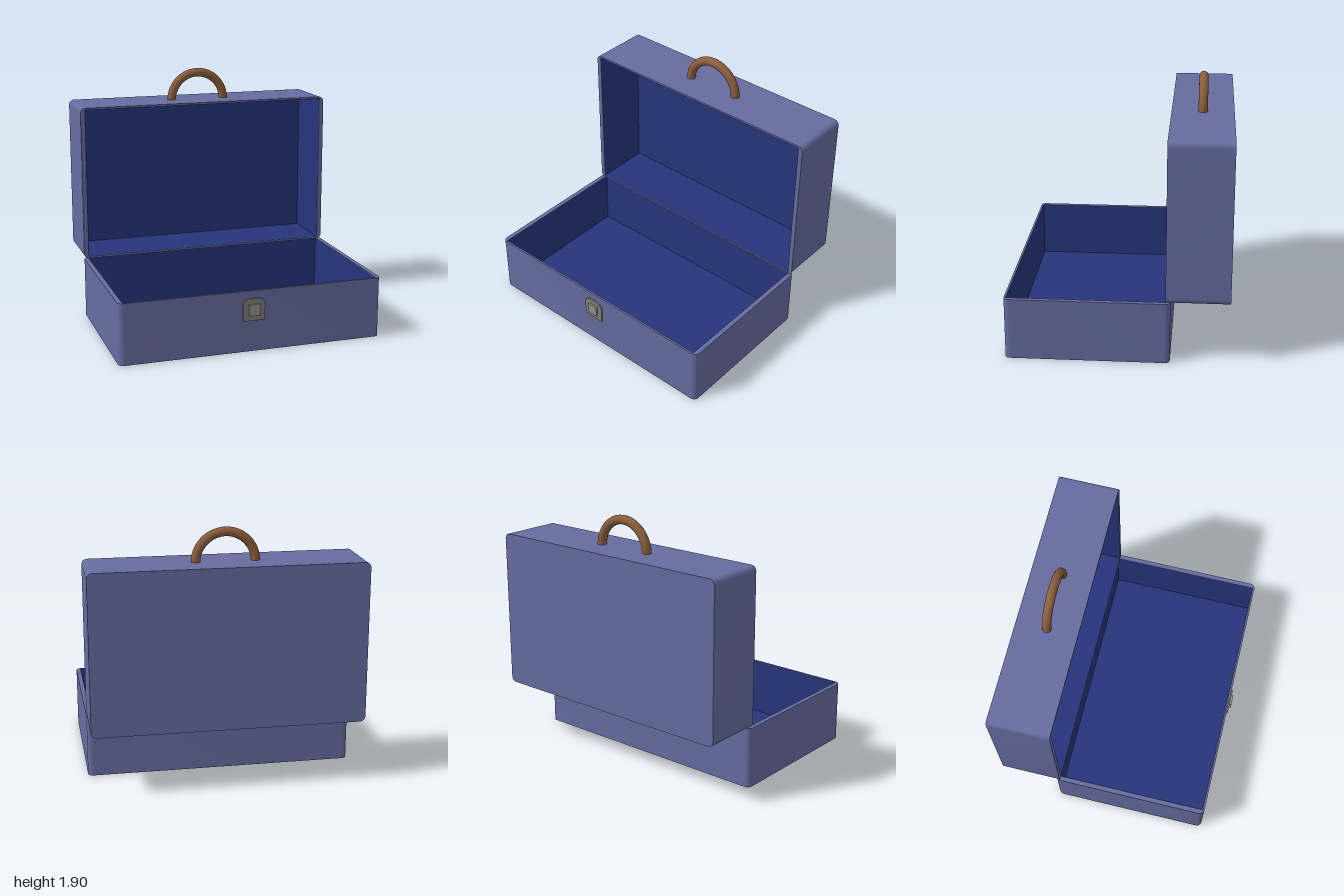
import * as THREE from 'three';
import { toCreasedNormals } from 'three/addons/utils/BufferGeometryUtils.js';

const mat = (color) => new THREE.MeshStandardMaterial({ color });
const leather = mat(0x666ca0);
const lining = mat(0x26357c);
lining.side = THREE.DoubleSide;
const brown = mat(0x8b5e3c);
const metal = mat(0x808078);
const brightMetal = mat(0x929290);

const W = 2, H = 1.19, DEPTH = 0.46, FLOOR = 0.02;
const WALL_X = 0.035, WALL_Y = 0.015;

function addMesh(parent, name, geometry, material, x = 0, y = 0, z = 0) {
  const mesh = new THREE.Mesh(geometry, material);
  mesh.name = name;
  mesh.position.set(x, y, z);
  parent.add(mesh);
  return mesh;
}

// Rectangle centred on the origin with separate top and bottom corner radii
function roundedRect(w, h, top, bottom) {
  const s = new THREE.Shape(), x = w / 2, y = h / 2;
  s.moveTo(-x + bottom, -y);
  s.lineTo(x - bottom, -y);
  if (bottom) s.absarc(x - bottom, -y + bottom, bottom, -Math.PI / 2, 0);
  s.lineTo(x, y - top);
  s.absarc(x - top, y - top, top, 0, Math.PI / 2);
  s.lineTo(-x + top, y);
  s.absarc(-x + top, y - top, top, Math.PI / 2, Math.PI);
  s.lineTo(-x, -y + bottom);
  if (bottom) s.absarc(-x + bottom, -y + bottom, bottom, Math.PI, Math.PI * 1.5);
  return s;
}

function extrude(shape, depth) {
  const g = new THREE.ExtrudeGeometry(shape, { depth, bevelEnabled: false, curveSegments: 8 });
  return toCreasedNormals(g, 0.6);
}

// Half of the case: closed back at z = 0, open towards +z
function createTray(name) {
  const tray = new THREE.Group();
  tray.name = name;
  const innerW = W - 2 * WALL_X, innerH = H - 2 * WALL_Y;
  const x = innerW / 2, y = innerH / 2;

  const walls = roundedRect(W, H, 0.04, 0.04);
  walls.holes.push(new THREE.Path([
    new THREE.Vector2(-x, -y), new THREE.Vector2(-x, y),
    new THREE.Vector2(x, y), new THREE.Vector2(x, -y),
  ]));
  addMesh(tray, name + 'Walls', extrude(walls, DEPTH - FLOOR), leather, 0, 0, FLOOR);
  addMesh(tray, name + 'Panel', extrude(roundedRect(W, H, 0.04, 0.04), FLOOR), leather);

  // Lining: a box without its +z face, just inside the walls
  const d = DEPTH - FLOOR - 0.004;
  const box = new THREE.BoxGeometry(innerW - 0.004, innerH - 0.004, d);
  const index = Array.from(box.index.array);
  index.splice(24, 6);
  box.setIndex(index);
  box.clearGroups();
  addMesh(tray, name + 'Lining', box, lining, 0, 0, FLOOR + 0.002 + d / 2);
  return tray;
}

export function createModel() {
  const model = new THREE.Group();
  model.name = 'openSuitcase';

  // Base lies flat, opening upwards
  const base = createTray('base');
  base.rotation.x = -Math.PI / 2;
  base.position.z = 0.2;
  model.add(base);

  // Lid stands upright, opening forwards
  const lid = createTray('lid');
  lid.position.set(0, 0.462 + H / 2, -0.82);
  model.add(lid);

  // Handle
  addMesh(model, 'handle', new THREE.TorusGeometry(0.215, 0.034, 16, 40, Math.PI),
    brown, 0, 1.647, -0.59);

  // Latch
  const latch = new THREE.Group();
  latch.name = 'latch';
  latch.position.set(0, 0.318, 0.79);
  addMesh(latch, 'latchPlate', extrude(roundedRect(0.166, 0.166, 0.05, 0), 0.016), metal);
  addMesh(latch, 'latchButton', new THREE.BoxGeometry(0.083, 0.085, 0.03), brightMetal, 0, 0, 0.015);
  model.add(latch);

  return model;
}
